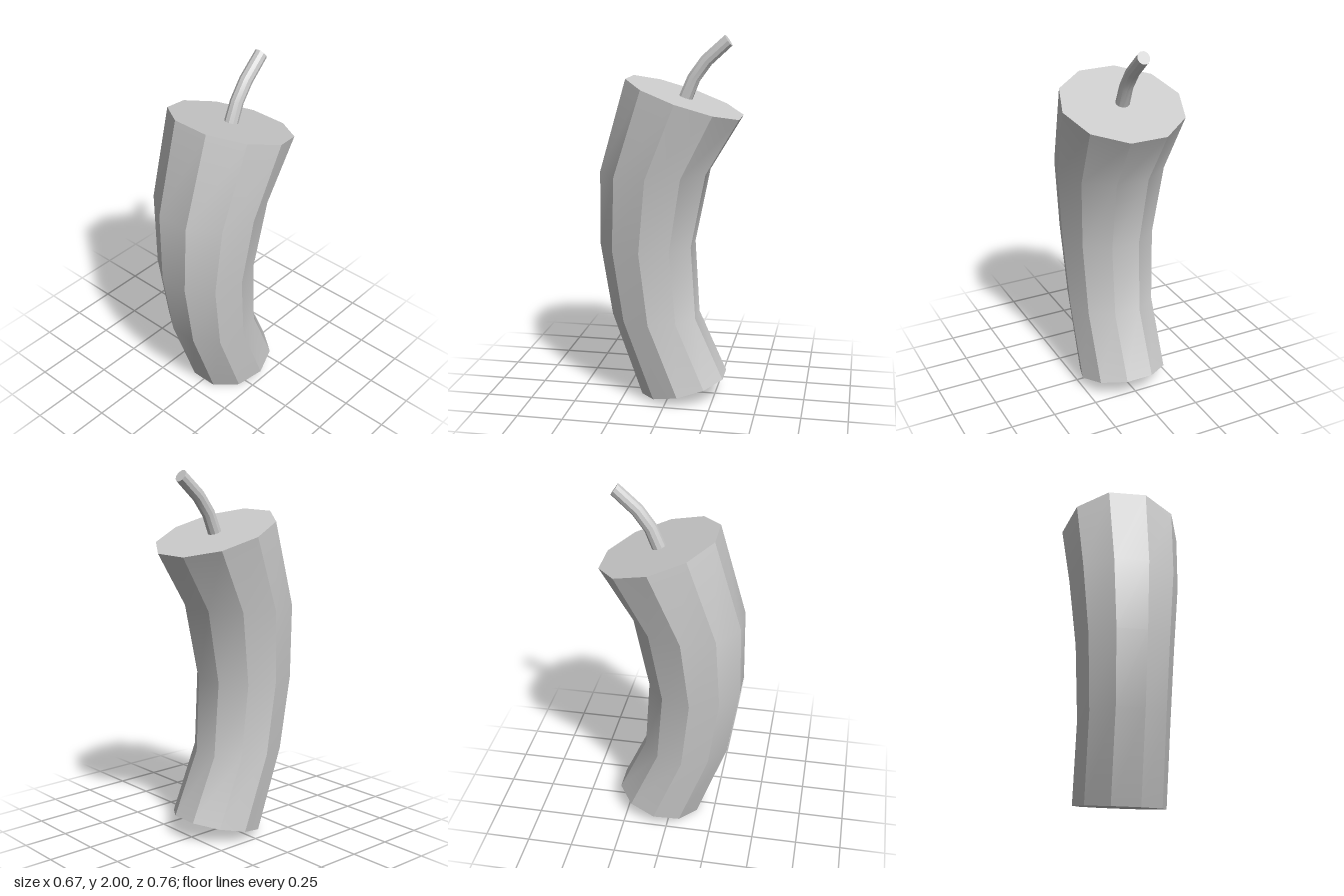
import * as THREE from 'three';
import { toCreasedNormals } from 'three/addons/utils/BufferGeometryUtils.js';

const SIDES = 10;

// Bent ten-sided prism; each ring is given by its front and back edge: [frontZ, frontY, backZ, backY]
function bentPrism(name, rings) {
  const pos = [], index = [];
  const flat = Math.sin(Math.PI * 0.4); // apothem / radius
  for (const [fz, fy, bz, by] of rings) {
    const cz = (fz + bz) / 2, cy = (fy + by) / 2;
    const radius = Math.hypot(fz - bz, fy - by) / 2 / flat;
    for (let i = 0; i < SIDES; i++) {
      const a = (i / SIDES) * Math.PI * 2, s = Math.sin(a) / flat;
      pos.push(radius * Math.cos(a), cy + s * (fy - cy), cz + s * (fz - cz));
    }
  }
  // side walls
  for (let j = 0; j < rings.length - 1; j++) {
    for (let i = 0; i < SIDES; i++) {
      const a = j * SIDES + i, b = j * SIDES + (i + 1) % SIDES;
      index.push(a, a + SIDES, b, b, a + SIDES, b + SIDES);
    }
  }
  // flat end caps
  const top = (rings.length - 1) * SIDES;
  for (let i = 1; i < SIDES - 1; i++) {
    index.push(0, i, i + 1, top, top + i + 1, top + i);
  }
  const geometry = new THREE.BufferGeometry();
  geometry.setAttribute('position', new THREE.Float32BufferAttribute(pos, 3));
  geometry.setIndex(index);
  // smooth along the bend, sharp between the sides
  const mesh = new THREE.Mesh(
    toCreasedNormals(geometry, Math.PI / 6),
    new THREE.MeshStandardMaterial({ color: 0xcccccc })
  );
  mesh.name = name;
  return mesh;
}

export function createModel() {
  const group = new THREE.Group();
  group.name = 'curvedStick';

  // thick curved body, flaring towards the top
  group.add(bentPrism('body', [
    [0.153, 0, -0.302, 0.116],
    [0.318, 0.465, -0.147, 0.46],
    [0.381, 0.867, -0.121, 0.867],
    [0.374, 1.272, -0.2, 1.272],
    [0.228, 1.773, -0.376, 1.571],
  ]));

  // thin curved fuse, its foot sunk into the top
  group.add(bentPrism('fuse', [
    [-0.03, 1.65, -0.1, 1.63],
    [-0.09, 1.79, -0.15, 1.757],
    [-0.162, 1.89, -0.212, 1.843],
    [-0.284, 2, -0.322, 1.945],
  ]));

  return group;
}
